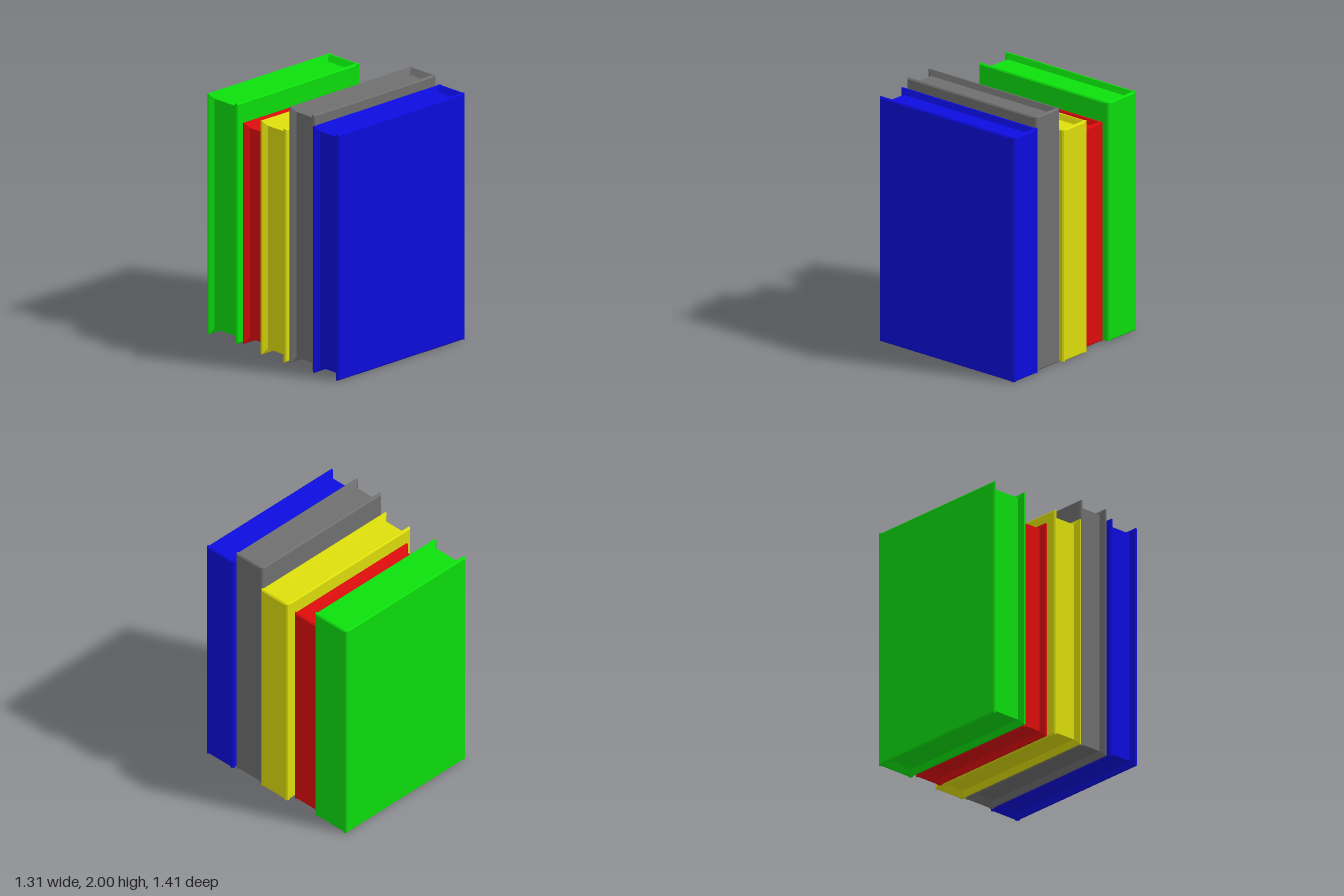
import * as THREE from 'three';
import { ConvexGeometry } from 'three/addons/geometries/ConvexGeometry.js';

const ROUND = 0.01;   // softened outer edges
const RIM = 0.022;    // flat width of a board's edge
const RECESS = 0.04;  // how far the pages sit inside the boards
const BOARD = 0.045;  // depth of a cover board, down to the pages
const SPINE = 0.06;   // depth of the spine, down to the pages

// A board with a softened outer face, whose inner side tapers towards the pages.
// a0..a1 runs across the board, 0..h up it; place(a, y, d) sets a point at depth d.
function boardGeometry(a0, a1, h, depth, inset0, inset1, place) {
  const rings = [
    [0, ROUND, ROUND, ROUND],
    [ROUND, 0, 0, 0],
    [RIM, 0, 0, 0],
    [depth, inset0, inset1, RECESS],
  ];
  const points = [];
  for (const [d, i0, i1, iy] of rings)
    for (const a of [a0 + i0, a1 - i1])
      for (const y of [iy, h - iy]) points.push(place(a, y, d));
  return new ConvexGeometry(points);
}

// One book standing upright: spine at +x, open edge at -x
function makeBook({ name, color, w, h, z0, z1 }) {
  const book = new THREE.Group();
  book.name = name;
  const material = new THREE.MeshStandardMaterial({ color });
  const add = (part, geometry) => {
    const mesh = new THREE.Mesh(geometry, material);
    mesh.name = part;
    book.add(mesh);
    return mesh;
  };
  const x = w / 2;
  const V = (...p) => new THREE.Vector3(...p);

  add('frontCover', boardGeometry(-x, x, h, BOARD, RECESS, 0, (a, y, d) => V(a, y, z1 - d)));
  add('backCover', boardGeometry(-x, x, h, BOARD, RECESS, 0, (a, y, d) => V(a, y, z0 + d)));
  add('spine', boardGeometry(z0, z1, h, SPINE, 0, 0, (a, y, d) => V(x - d, y, a)));

  // Page block, recessed at the top, bottom and open edge
  const left = -x + RECESS, right = x - SPINE / 2;
  add('pages', new THREE.BoxGeometry(right - left, h - 2 * RECESS, z1 - z0 - BOARD))
    .position.set((left + right) / 2, h / 2, (z0 + z1) / 2);
  return book;
}

export function createModel() {
  const model = new THREE.Group();
  model.name = 'bookRow';
  const books = [
    { name: 'blueBook', color: 0x0c0ce0, w: 1.31, h: 1.925, z0: 0.43, z1: 0.705 },
    { name: 'greyBook', color: 0x707070, w: 1.26, h: 2.0, z0: 0.155, z1: 0.425 },
    { name: 'yellowBook', color: 0xdede0c, w: 1.305, h: 1.825, z0: -0.125, z1: 0.15 },
    { name: 'redBook', color: 0xde0c0c, w: 1.175, h: 1.725, z0: -0.38, z1: -0.133 },
    { name: 'greenBook', color: 0x0ce00c, w: 1.26, h: 1.88, z0: -0.71, z1: -0.385 },
  ];
  for (const b of books) model.add(makeBook(b));
  return model;
}
